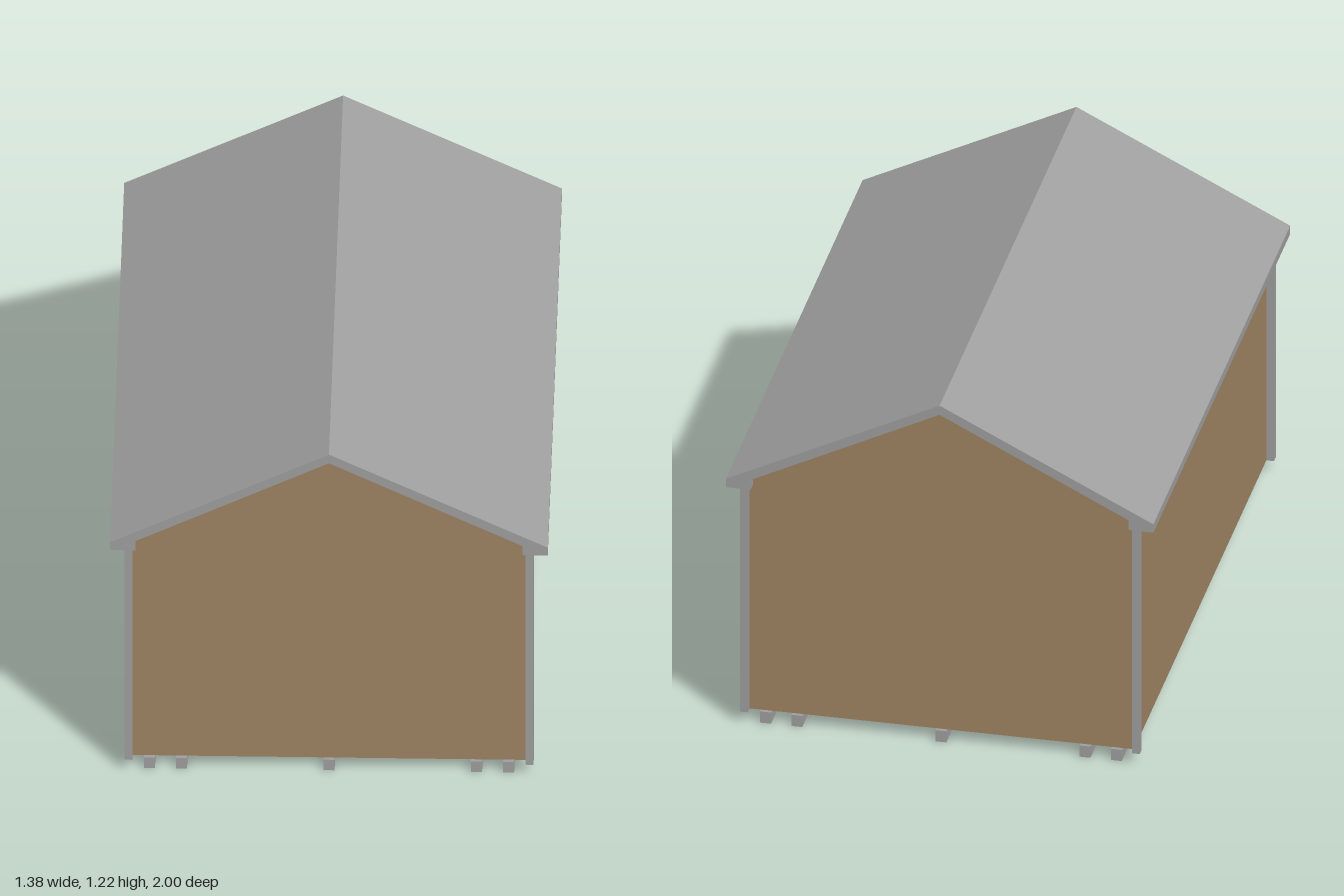
import * as THREE from 'three';

const grey = new THREE.MeshStandardMaterial({ color: 0xa0a0a0 });
grey.name = 'greyTrim';
const brown = new THREE.MeshStandardMaterial({ color: 0xa08564, side: THREE.DoubleSide });
brown.name = 'brownBoard';

const FLOOR = 0.04, EAVE = 0.845, WALL_X = 0.62, WALL_Z = 0.967;

function add(parent, name, geometry, material, x = 0, y = 0, z = 0) {
  const mesh = new THREE.Mesh(geometry, material);
  mesh.name = name;
  mesh.position.set(x, y, z);
  parent.add(mesh);
  return mesh;
}

const outline = (points) => new THREE.Shape(points.map(([x, y]) => new THREE.Vector2(x, y)));

// Flat sheet running front to back between two points of the cross-section
function sheet(parent, name, [x1, y1], [x2, y2]) {
  const geometry = new THREE.PlaneGeometry(2 * WALL_Z, Math.hypot(x2 - x1, y2 - y1));
  geometry.rotateY(Math.PI / 2);
  geometry.rotateZ(Math.atan2(y2 - y1, x2 - x1) - Math.PI / 2);
  add(parent, name, geometry, brown, (x1 + x2) / 2, (y1 + y2) / 2);
}

export function createModel() {
  const shed = new THREE.Group();
  shed.name = 'shed';

  // Pitched roof with boxed eaves
  const roof = new THREE.ExtrudeGeometry(outline([
    [-0.69, EAVE], [-0.61, EAVE], [-0.61, 0.88], [0, 1.187], [0.61, 0.88],
    [0.61, EAVE], [0.69, EAVE], [0.69, 0.875], [0, 1.22], [-0.69, 0.875],
  ]), { depth: 2, bevelEnabled: false });
  add(shed, 'roof', roof, grey, 0, 0, -1);

  // Gable walls, front and back
  const gable = new THREE.ShapeGeometry(outline([
    [-WALL_X, FLOOR], [WALL_X, FLOOR], [WALL_X, EAVE], [0.61, EAVE], [0.61, 0.88],
    [0, 1.187], [-0.61, 0.88], [-0.61, EAVE], [-WALL_X, EAVE],
  ]));
  add(shed, 'frontWall', gable, brown, 0, 0, WALL_Z);
  add(shed, 'backWall', gable, brown, 0, 0, -WALL_Z).rotation.y = Math.PI;

  // Side walls, inner eave boards, ceiling and corner posts
  const post = new THREE.BoxGeometry(0.025, EAVE - FLOOR, 0.027);
  for (const s of [-1, 1]) {
    const side = s > 0 ? 'left' : 'right';
    sheet(shed, side + 'Wall', [s * WALL_X, FLOOR], [s * WALL_X, EAVE]);
    sheet(shed, side + 'EaveBoard', [s * 0.608, EAVE], [s * 0.608, 0.878]);
    sheet(shed, side + 'Ceiling', [s * 0.608, 0.878], [0, 1.184]);
    for (const f of [-1, 1]) {
      add(shed, side + (f > 0 ? 'Front' : 'Back') + 'Post', post, grey,
        s * 0.6325, (EAVE + FLOOR) / 2, f * 0.9805);
    }
  }

  // Floor skids; the floor itself is open
  const skid = new THREE.BoxGeometry(0.035, FLOOR, 1.96);
  for (const x of [-0.566, -0.465, 0, 0.465, 0.566]) {
    add(shed, 'skid', skid, grey, x, FLOOR / 2, 0);
  }
  return shed;
}
